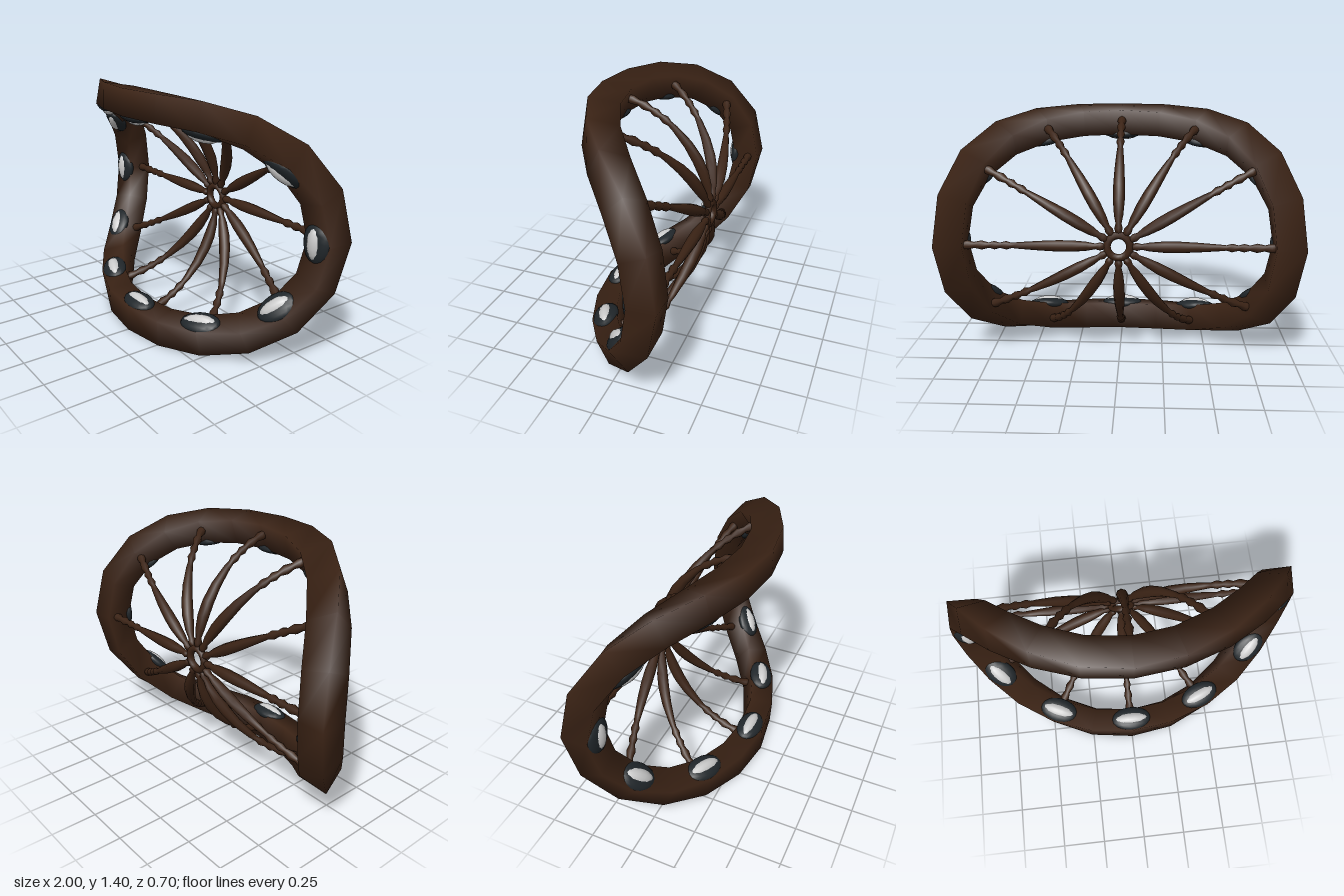
import * as THREE from 'three';
import { mergeVertices } from 'three/addons/utils/BufferGeometryUtils.js';

const BEND_RADIUS = 0.627, HALF_THICK = 0.075, CENTRE_Y = 0.702, CENTRE_Z = 0.352;

// Wraps a flat wheel part (in the xy plane) around a half cylinder lying along x
function bend(geometry) {
  geometry.deleteAttribute('uv');
  geometry.deleteAttribute('normal');
  const g = mergeVertices(geometry, 1e-4);
  const p = g.attributes.position;
  for (let i = 0; i < p.count; i++) {
    const angle = p.getY(i) * Math.PI / 2;
    const r = BEND_RADIUS - p.getZ(i);
    p.setXYZ(i, p.getX(i), CENTRE_Y + r * Math.sin(angle), CENTRE_Z - r * Math.cos(angle));
  }
  g.computeVertexNormals();
  return g;
}

const profile = (pairs) => pairs.map(([r, y]) => new THREE.Vector2(r, y));

export function createModel() {
  const model = new THREE.Group();
  model.name = 'bentWheel';
  const wood = new THREE.MeshStandardMaterial({ color: 0x3b2315 });
  const dark = new THREE.MeshStandardMaterial({ color: 0x20262a });
  const pale = new THREE.MeshStandardMaterial({ color: 0xcccccc });

  const add = (name, geometry, material) => {
    const mesh = new THREE.Mesh(bend(geometry), material);
    mesh.name = name;
    model.add(mesh);
  };

  // Square-section rim
  const h = HALF_THICK;
  const rim = new THREE.LatheGeometry(
    profile([[0.84, -h], [1, -h], [1, h], [0.84, h], [0.84, -h]]), 24);
  add('rim', rim.rotateX(Math.PI / 2), wood);

  // Hub ring
  add('hub', new THREE.TorusGeometry(0.063, 0.021, 8, 20).translate(0, 0, -0.015), wood);

  // Turned spoke: bead, long spindle, then beads at the rim
  const spokeProfile = profile([
    [0, 0.07], [0.016, 0.075], [0.023, 0.1], [0.016, 0.125], [0.025, 0.17],
    [0.032, 0.25], [0.032, 0.33], [0.027, 0.43], [0.019, 0.54], [0.015, 0.58],
    [0.024, 0.61], [0.015, 0.645], [0.024, 0.675], [0.015, 0.705],
    [0.026, 0.745], [0.017, 0.785], [0.026, 0.82], [0.022, 0.86], [0, 0.88],
  ]);

  for (let i = 0; i < 12; i++) {
    const turn = i * Math.PI / 6;
    const spoke = new THREE.LatheGeometry(spokeProfile, 8);
    add('spoke', spoke.rotateZ(turn).translate(0, 0, -0.015), wood);

    // Oval inset on the front face of the rim, long axis along the rim
    const oval = (width, length, height) => new THREE.SphereGeometry(1, 14, 10)
      .scale(length, width, height).translate(0, 0.908, HALF_THICK).rotateZ(turn);
    add('insetSurround', oval(0.083, 0.125, 0.038), dark);
    add('insetCentre', oval(0.05, 0.11, 0.05), pale);
  }
  return model;
}
